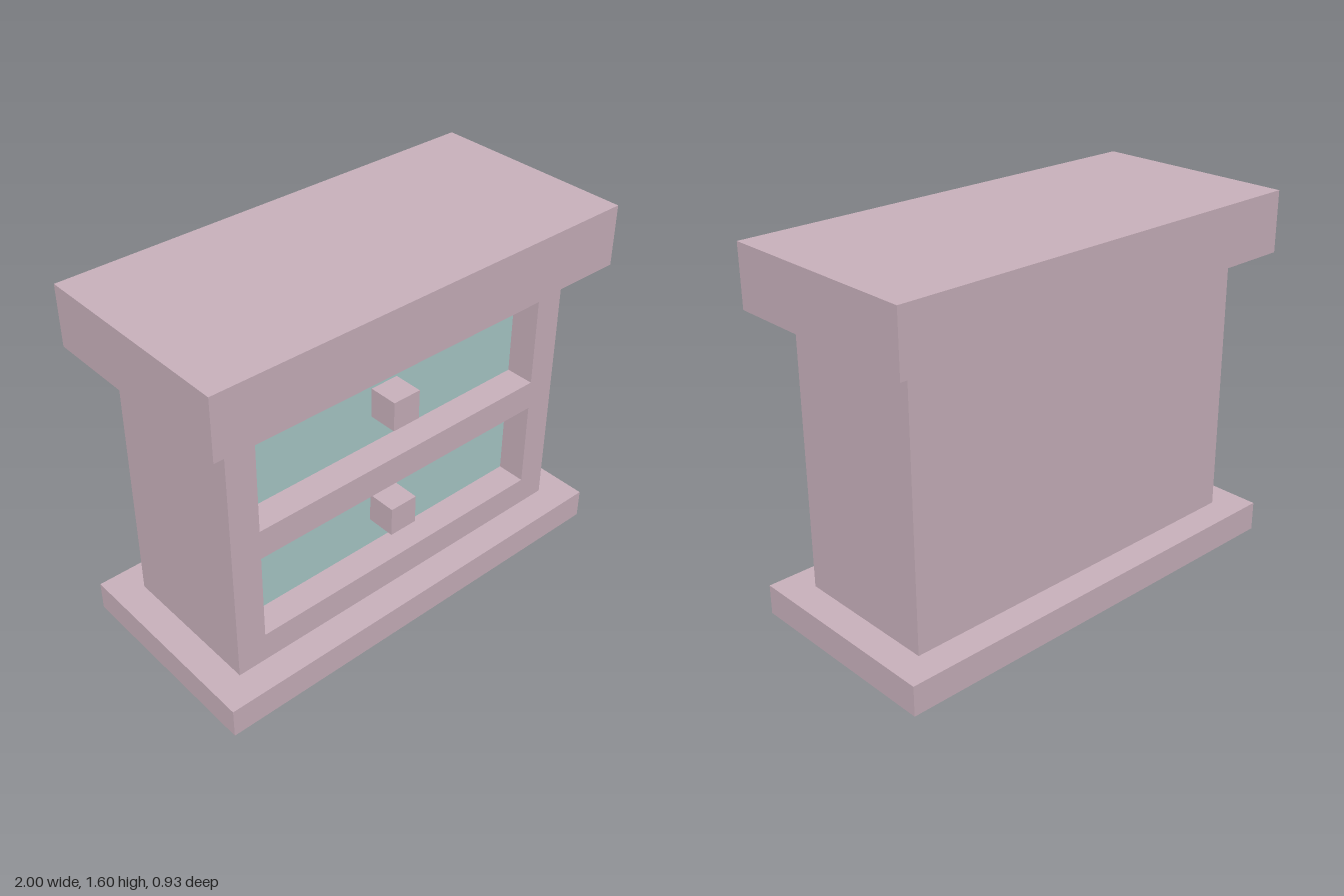
import * as THREE from 'three';

const U = 2 / 30; // design grid unit

export function createModel() {
  const model = new THREE.Group();
  model.name = 'chestOfDrawers';
  const pink = new THREE.MeshStandardMaterial({ color: 0xc9b1bc });
  pink.name = 'dustyPink';
  const teal = new THREE.MeshStandardMaterial({ color: 0xa9c9c8 });
  teal.name = 'paleTeal';

  const add = (name, geometry, material, x, y, z) => {
    const mesh = new THREE.Mesh(geometry, material);
    mesh.name = name;
    mesh.position.set(x, y, z);
    model.add(mesh);
  };
  const box = (name, material, w, h, d, y, z) =>
    add(name, new THREE.BoxGeometry(w, h, d), material, 0, y, z);

  // Rectangle outline, centred on x
  const rect = (path, halfW, y0, y1) => {
    path.moveTo(-halfW, y0);
    path.lineTo(halfW, y0);
    path.lineTo(halfW, y1);
    path.lineTo(-halfW, y1);
    path.closePath();
    return path;
  };

  // Plinth, cabinet and thick top
  box('base', pink, 30 * U, 2 * U, 14 * U, U, 0);
  box('cabinet', pink, 26 * U, 18 * U, 8 * U, 11 * U, -U);
  box('top', pink, 30 * U, 4 * U, 14 * U, 22 * U, 0);

  // Front frame with two drawer openings
  const frame = rect(new THREE.Shape(), 13 * U, 2 * U, 20 * U);
  const drawers = [['lower', 4 * U], ['upper', 12 * U]];
  for (const [, y] of drawers) frame.holes.push(rect(new THREE.Path(), 11 * U, y, y + 6 * U));
  const frameGeometry = new THREE.ExtrudeGeometry(frame, { depth: 2 * U, bevelEnabled: false });
  add('frontFrame', frameGeometry, pink, 0, 0, 3 * U);

  // Recessed drawer faces and square knobs
  for (const [side, y] of drawers) {
    box(side + 'DrawerFace', teal, 22 * U, 6 * U, 0.004, y + 3 * U, 3 * U);
    box(side + 'DrawerKnob', pink, 2 * U, 2 * U, 2 * U, y + 3 * U, 4 * U);
  }
  return model;
}
